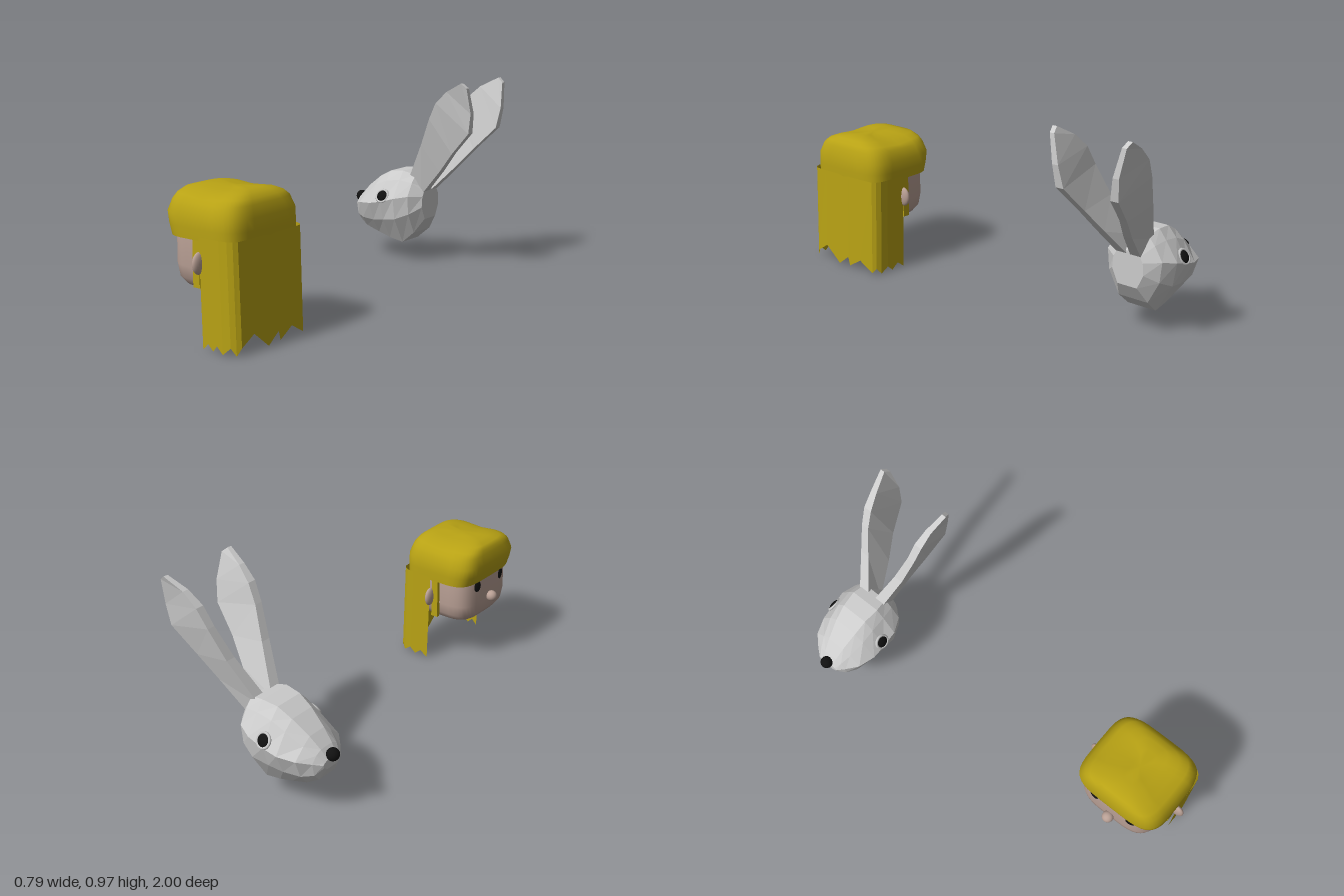
import * as THREE from 'three';

const mat = (color, extra = {}) => new THREE.MeshStandardMaterial({ color, ...extra });
const HAIR = 0xb8a214, SKIN = 0xb89f94, GREY = 0xcccccc, BLACK = 0x111111;

function add(parent, name, geometry, material, x = 0, y = 0, z = 0) {
  const mesh = new THREE.Mesh(geometry, material);
  mesh.name = name;
  mesh.position.set(x, y, z);
  parent.add(mesh);
  return mesh;
}

function ellipsoid(parent, name, color, [x, y, z], [rx, ry, rz], ws = 20, hs = 14) {
  const mesh = add(parent, name, new THREE.SphereGeometry(1, ws, hs), mat(color), x, y, z);
  mesh.scale.set(rx, ry, rz);
  return mesh;
}

// Skin a stack of equal-length closed rings, with optional fan caps
function loft(rings, capStart = true, capEnd = true) {
  const n = rings[0].length, pos = rings.flat(), idx = [];
  for (let i = 0; i < rings.length - 1; i++) {
    for (let j = 0; j < n; j++) {
      const k = (j + 1) % n, a = i * n + j, b = i * n + k, c = b + n, d = a + n;
      idx.push(a, b, d, b, c, d);
    }
  }
  const cap = (ring, base, flip) => {
    const centre = [0, 1, 2].map((m) => ring.reduce((s, p) => s + p[m], 0) / n);
    const ci = pos.push(centre) - 1;
    for (let j = 0; j < n; j++) {
      const k = (j + 1) % n;
      if (flip) idx.push(ci, base + k, base + j);
      else idx.push(ci, base + j, base + k);
    }
  };
  if (capStart) cap(rings[0], 0, true);
  if (capEnd) cap(rings[rings.length - 1], (rings.length - 1) * n, false);
  const g = new THREE.BufferGeometry();
  g.setAttribute('position', new THREE.Float32BufferAttribute(pos.flat(), 3));
  g.setIndex(idx);
  g.computeVertexNormals();
  return g;
}

// Horizontal rounded-square ring from x0 to x1 and -w to w
function roundedRing([y, x0, x1, w], power) {
  const soft = (v) => Math.sign(v) * Math.abs(v) ** (2 / power);
  return Array.from({ length: 40 }, (_, i) => {
    const a = (i / 40) * Math.PI * 2;
    const x = (x0 + x1) / 2 + (x1 - x0) / 2 * soft(Math.cos(a));
    const dip = y > 0.62 ? 0.01 * Math.exp(-(((x - 0.09) / 0.06) ** 2)) : 0;
    return [x, y - dip, -w * soft(Math.sin(a))];
  });
}

function createPersonHead() {
  const g = new THREE.Group();
  g.name = 'personHead';

  // Face: y, x front, x back, half width
  const face = [
    [0.224, 0.0, 0.15, 0.09], [0.228, -0.04, 0.19, 0.135], [0.242, -0.075, 0.22, 0.17],
    [0.275, -0.099, 0.24, 0.195], [0.33, -0.107, 0.25, 0.205], [0.46, -0.106, 0.25, 0.205],
    [0.56, -0.09, 0.24, 0.19],
  ].map((r) => roundedRing(r, 3.8));
  add(g, 'face', loft(face), mat(SKIN));
  ellipsoid(g, 'nose', SKIN, [-0.122, 0.345, 0], [0.028, 0.028, 0.028]);

  // Hair cap with its fringe
  const cap = [
    [0.455, -0.107, 0.285, 0.229], [0.5, -0.122, 0.286, 0.23], [0.55, -0.133, 0.285, 0.228],
    [0.6, -0.12, 0.27, 0.206], [0.622, -0.113, 0.257, 0.18], [0.64, -0.1, 0.235, 0.135],
    [0.65, -0.06, 0.205, 0.08], [0.654, -0.02, 0.16, 0.035],
  ].map((r) => roundedRing(r, 4.5));
  add(g, 'hairCap', loft(cap, false), mat(HAIR));
  const under = [[0.456, -0.09, 0.24, 0.195], [0.456, -0.107, 0.285, 0.229]].map((r) => roundedRing(r, 4.5));
  add(g, 'fringeUnderside', loft(under, false, false), mat(HAIR, { side: THREE.DoubleSide }));

  // Long hair around sides and back: x, z, height of the jagged lower edge
  const path = [
    [0.1, 0.229, 0.004], [0.128, 0.229, 0.032], [0.155, 0.229, 0.005], [0.175, 0.229, 0.032],
    [0.207, 0.229, 0.002], [0.245, 0.224, 0.035], [0.267, 0.212, 0.003], [0.28, 0.195, 0.035],
    [0.285, 0.125, 0.08], [0.285, 0.035, 0.005], [0.285, -0.025, 0.05], [0.285, -0.03, 0.05],
    [0.285, -0.04, 0.01], [0.285, -0.115, 0.055], [0.28, -0.195, 0.008], [0.267, -0.212, 0.03],
    [0.245, -0.224, 0.003], [0.207, -0.229, 0.03], [0.175, -0.229, 0.004], [0.14, -0.229, 0.032],
    [0.1, -0.229, 0.004],
  ];
  const pos = [], idx = [];
  path.forEach(([x, z, y], i) => {
    pos.push(x, 0.47, z, x + 0.014, y, z);
    if (i) {
      const a = 2 * i - 2;
      idx.push(a, a + 2, a + 1, a + 2, a + 3, a + 1);
    }
  });
  const sheet = new THREE.BufferGeometry();
  sheet.setAttribute('position', new THREE.Float32BufferAttribute(pos, 3));
  sheet.setIndex(idx);
  sheet.computeVertexNormals();
  add(g, 'longHair', sheet, mat(HAIR, { side: THREE.DoubleSide, flatShading: true }));

  // Paired eyes, ears and sidelocks
  for (const s of [1, -1]) {
    const eye = ellipsoid(g, 'eye', BLACK, [-0.099, 0.43, s * 0.103], [0.009, 0.032, 0.025]);
    eye.rotation.y = s * 0.2;
    ellipsoid(g, 'ear', SKIN, [0.1, 0.363, s * 0.23], [0.017, 0.047, 0.036]);
    add(g, 'sidelock', new THREE.BoxGeometry(0.036, 0.21, 0.02), mat(HAIR), 0.077, 0.36, s * 0.212);
  }
  return g;
}

function createRabbitHead() {
  const g = new THREE.Group();
  g.name = 'rabbitHead';
  const fur = mat(GREY, { flatShading: true });

  // Head sections from muzzle to nape: x, then height and half width from top to bottom
  const head = [
    [-0.36, 0.285, 0.025, 0.277, 0.045, 0.268, 0.055, 0.255, 0.05, 0.24, 0.03],
    [-0.33, 0.325, 0.035, 0.31, 0.065, 0.28, 0.09, 0.22, 0.08, 0.185, 0.05],
    [-0.28, 0.375, 0.045, 0.345, 0.085, 0.295, 0.138, 0.21, 0.11, 0.16, 0.07],
    [-0.2, 0.435, 0.06, 0.395, 0.105, 0.305, 0.166, 0.21, 0.128, 0.135, 0.072],
    [-0.13, 0.472, 0.068, 0.425, 0.11, 0.32, 0.17, 0.22, 0.14, 0.115, 0.073],
    [-0.05, 0.48, 0.075, 0.435, 0.11, 0.345, 0.17, 0.235, 0.152, 0.1, 0.073],
    [0.02, 0.465, 0.065, 0.425, 0.1, 0.36, 0.14, 0.265, 0.13, 0.16, 0.075],
    [0.07, 0.395, 0.035, 0.38, 0.06, 0.355, 0.075, 0.3, 0.08, 0.235, 0.05],
  ].map(([x, ...p]) => {
    const half = [0, 2, 4, 6, 8].map((i) => [x, p[i], p[i + 1]]);
    return [...half, ...half.map(([a, y, z]) => [a, y, -z]).reverse()];
  });
  add(g, 'head', loft(head), fur);
  ellipsoid(g, 'noseTip', BLACK, [-0.365, 0.299, 0], [0.03, 0.029, 0.03], 16, 10);

  // Ear stations: front edge x, y, z, back edge x, y, z, thickness
  const ear = [
    [-0.02, 0.44, 0.04, 0.05, 0.36, 0.03, 0.055],
    [0.09, 0.635, 0.105, 0.18, 0.5, 0.07, 0.045],
    [0.155, 0.775, 0.14, 0.27, 0.605, 0.105, 0.038],
    [0.2, 0.86, 0.152, 0.38, 0.72, 0.135, 0.04],
    [0.265, 0.92, 0.163, 0.395, 0.82, 0.148, 0.03],
    [0.355, 0.968, 0.183, 0.383, 0.945, 0.175, 0.022],
  ];
  for (const s of [1, -1]) {
    const rings = ear.map(([fx, fy, fz, bx, by, bz, t]) => [
      [fx, fy, s * fz - t / 2], [fx, fy, s * fz + t / 2],
      [bx, by, s * bz + t / 2], [bx, by, s * bz - t / 2],
    ]);
    add(g, 'ear', loft(rings), fur);

    // Eye in a pale rim, tilted with the cheek
    const socket = new THREE.Group();
    socket.name = 'eye';
    socket.position.set(-0.125, 0.35, s * 0.156);
    socket.rotation.x = -s * 0.5;
    if (s < 0) socket.scale.z = -1;
    add(socket, 'eyeRim', new THREE.TorusGeometry(0.033, 0.007, 6, 18), mat(GREY));
    ellipsoid(socket, 'pupil', BLACK, [0, 0, 0], [0.03, 0.03, 0.013]);
    g.add(socket);
  }
  return g;
}

export function createModel() {
  const model = new THREE.Group();
  model.name = 'twoHeads';
  const person = createPersonHead();
  person.position.z = 0.735;
  const rabbit = createRabbitHead();
  rabbit.position.z = -0.805;
  model.add(person, rabbit);
  return model;
}
